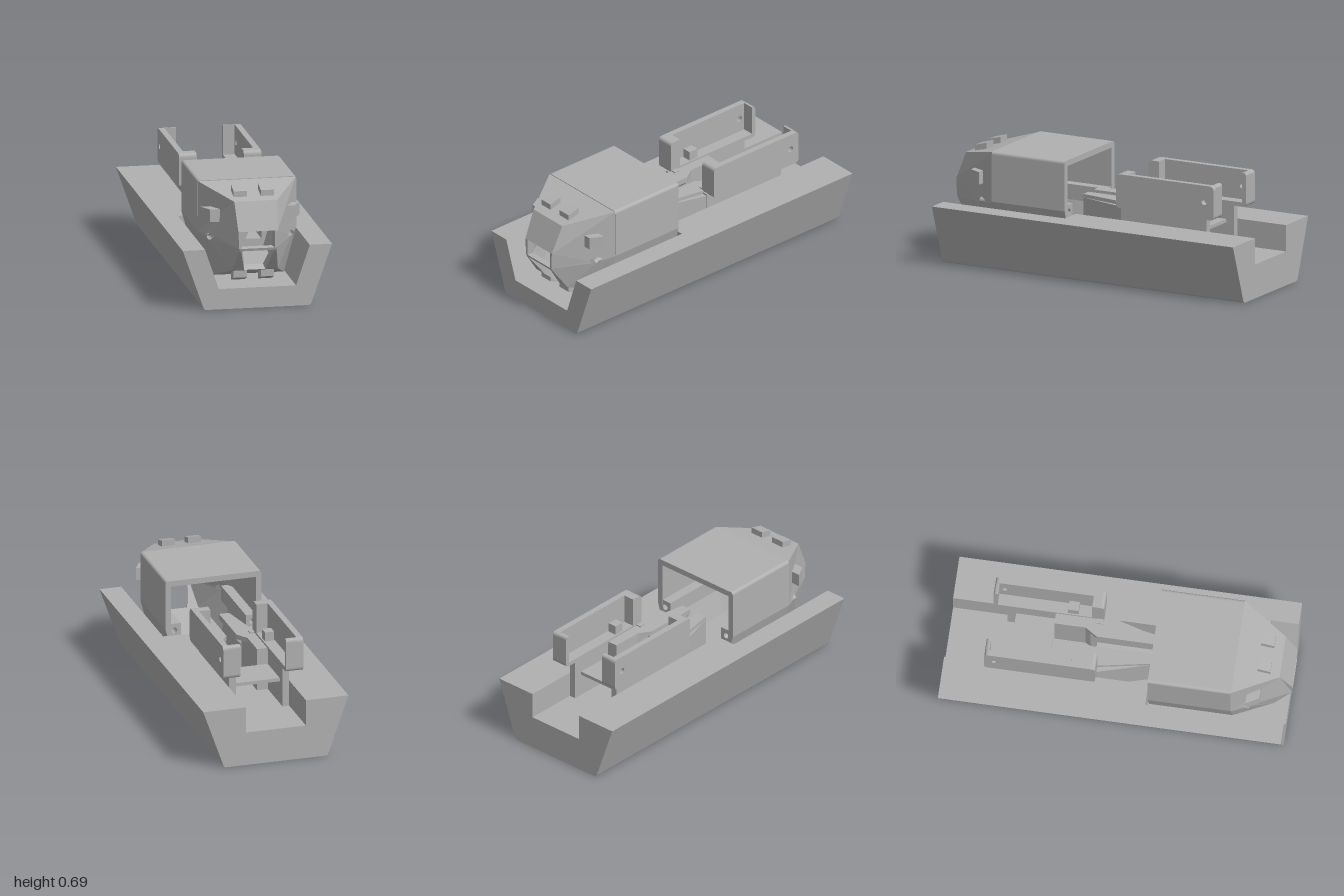
import * as THREE from 'three';

const grey = new THREE.MeshStandardMaterial({ color: 0xb0b0b0, side: THREE.DoubleSide });
grey.name = 'plainGrey';

const polygon = (pts) => new THREE.Shape(pts.map(([x, y]) => new THREE.Vector2(x, y)));
const circleHole = (x, y, r) => new THREE.Path().absarc(x, y, r, 0, Math.PI * 2, true);
const extrude = (shape, depth) =>
  new THREE.ExtrudeGeometry(shape, { depth, bevelEnabled: false, curveSegments: 10 });

// Extrusions along z (front outline), y (plan outline) and x (side outline)
const alongZ = (shape, z0, z1) => extrude(shape, z1 - z0).translate(0, 0, z0);
const alongY = (pts, y0, y1) =>
  extrude(polygon(pts.map(([x, z]) => [x, -z])), y1 - y0).rotateX(-Math.PI / 2).translate(0, y0, 0);
const alongX = (shape, x0, x1) => extrude(shape, x1 - x0).rotateY(Math.PI / 2).translate(x0, 0, 0);
const box = (x0, x1, y0, y1, z0, z1) => new THREE.BoxGeometry(x1 - x0, y1 - y0, z1 - z0)
  .translate((x0 + x1) / 2, (y0 + y1) / 2, (z0 + z1) / 2);

// Closed outline with its corners rounded by a radius per corner
function rounded(pts) {
  const s = new THREE.Shape();
  pts.forEach(([x, y, r = 0], i) => {
    const p = new THREE.Vector2(x, y);
    const toward = (q) => new THREE.Vector2(q[0], q[1]).sub(p).setLength(r).add(p);
    const a = r ? toward(pts[(i + pts.length - 1) % pts.length]) : p;
    const b = r ? toward(pts[(i + 1) % pts.length]) : p;
    if (i) s.lineTo(a.x, a.y); else s.moveTo(a.x, a.y);
    if (r) s.quadraticCurveTo(x, y, b.x, b.y);
  });
  s.closePath();
  return s;
}

const mirrorPts = (half) => [...half, ...half.slice().reverse().map(([x, ...rest]) => [-x, ...rest])];

// Faces seen from the front: triangulated in xy, keeping their own z
function facets(polys) {
  const pos = [];
  for (const poly of polys) {
    const flat = poly.map((p) => new THREE.Vector2(p[0], p[1]));
    const ccw = !THREE.ShapeUtils.isClockWise(flat);
    for (const t of THREE.ShapeUtils.triangulateShape(flat, [])) {
      const tri = t.map((i) => poly[i]);
      const [a, b, c] = tri;
      const up = (b[0] - a[0]) * (c[1] - a[1]) - (b[1] - a[1]) * (c[0] - a[0]) > 0;
      (up || (!ccw && up) ? tri : tri.reverse()).forEach((p) => pos.push(...p));
    }
  }
  const g = new THREE.BufferGeometry();
  g.setAttribute('position', new THREE.Float32BufferAttribute(pos, 3));
  g.computeVertexNormals();
  return g;
}

// Strip joining an outer loop to the inner skin
function reveal(loop, inner) {
  const pos = [];
  loop.forEach((p, i) => {
    const q = loop[(i + 1) % loop.length];
    const a = inner(p), b = inner(q);
    pos.push(...p, ...q, ...b, ...p, ...b, ...a);
  });
  const g = new THREE.BufferGeometry();
  g.setAttribute('position', new THREE.Float32BufferAttribute(pos, 3));
  g.computeVertexNormals();
  return g;
}

export function createModel() {
  const model = new THREE.Group();
  model.name = 'capsuleOnCradle';
  const add = (name, geo) => {
    const m = new THREE.Mesh(geo, grey);
    m.name = name;
    model.add(m);
    return m;
  };
  const addPair = (name, geo) => {
    add(name + 'Left', geo);
    add(name + 'Right', geo).scale.x = -1;
  };

  // Cradle: sloped pocket in front, square channel behind
  const cradle = (inner) => rounded(mirrorPts([[0.31, 0, 0.015], [0.435, 0.355], ...inner]));
  add('cradleFront', alongZ(cradle([[0.305, 0.355], [0.225, 0.12]]), 0.18, 0.98));
  add('cradleRear', alongZ(cradle([[0.18, 0.355], [0.18, 0.2]]), -1, 0.18));

  // Hollow capsule body
  const skin = 0.88;
  const outline = [[0.215, 0.125, 0.012], [0.288, 0.39], [0.288, 0.685, 0.02]];
  const body = rounded(mirrorPts(outline));
  body.holes.push(polygon(mirrorPts(outline.map(([x, y]) => [x * skin, 0.4 + (y - 0.4) * skin]))));
  add('capsuleBody', alongZ(body, 0.19, 0.67));

  // Drilled bosses along both inner walls
  const hx = 0.235, hy = 0.378, hr = 0.018;
  const boss = polygon([[0.195, 0.33], [0.262, 0.33], [0.28, 0.39], [0.28, 0.42], [0.195, 0.42]]);
  boss.holes.push(circleHole(hx, hy, hr));
  addPair('boss', alongZ(boss, 0.192, 0.67));
  addPair('bossBore', new THREE.CylinderGeometry(hr, hr, 0.1, 20, 1, true)
    .rotateX(Math.PI / 2).translate(hx, hy, 0.72));

  // Faceted nose, with a notch on the side edge for each bore
  const a0 = [0.284, 0.681, 0.67], a1 = [0.288, 0.39, 0.67], a2 = [0.215, 0.125, 0.67];
  const b0 = [0.125, 0.617, 0.93], bm = [0.115, 0.455, 1], b1 = [0.11, 0.355, 1];
  const bl = [0.108, 0.34, 0.995], b2 = [0.135, 0.205, 0.9];
  const w0 = [0.098, 0.455, 1], w1 = [0.098, 0.355, 1];
  const v0 = [0.097, 0.34, 0.995], v1 = [0.062, 0.205, 0.9];
  const arc = (dir) => Array.from({ length: 9 }, (_, i) => {
    const t = 0.15 + (dir * Math.PI * i) / 8;
    const x = hx + hr * Math.cos(t);
    return [x, hy + hr * Math.sin(t), 0.67 + (0.288 - x) * 1.854];
  });
  const sideFaces = [
    [a0, b0, bm, b1, ...arc(1).reverse(), a1],
    [a1, ...arc(-1), b1, bl, b2, a2],
    [bm, w0, w1, b1],
    [bl, v0, v1, b2],
  ];
  const flip = (p) => [-p[0], p[1], p[2]];
  const across = (p, q) => [p, flip(p), flip(q), q];
  const noseFaces = [
    ...sideFaces, ...sideFaces.map((f) => f.map(flip)),
    across(a0, b0), across(b0, bm), across(b1, bl), across(b2, a2),
  ];
  const inner = ([x, y, z]) => [x * skin, 0.4 + (y - 0.4) * skin, z - 0.035];
  add('noseShell', facets(noseFaces));
  add('noseLining', facets(noseFaces.map((f) => f.map(inner))));
  add('upperWindowReveal', reveal(across(w0, w1), inner));
  add('lowerWindowReveal', reveal(across(v0, v1), inner));

  // Raised pads on the nose
  const zy = (pts) => polygon(pts.map(([z, y]) => [-z, y]));
  addPair('topPad', alongX(zy([[0.8, 0.685], [0.875, 0.664], [0.875, 0.625], [0.8, 0.64]]), 0.04, 0.118));
  addPair('bottomPad', alongX(zy([[0.8, 0.125], [0.875, 0.155], [0.875, 0.2], [0.8, 0.18]]), 0.04, 0.118));
  addPair('sidePad', alongY([[0.288, 0.755], [0.247, 0.83], [0.18, 0.83], [0.22, 0.755]], 0.478, 0.553));

  // Side trays: outer wall with a round hole, plus a U-shaped inner part
  const wall = rounded([[0.12, 0.44, 0.025], [0.76, 0.44, 0.025], [0.76, 0.64, 0.025], [0.12, 0.64, 0.025]]);
  wall.holes.push(circleHole(0.7, 0.545, 0.018));
  addPair('trayWall', alongX(wall, 0.205, 0.24));
  const tray = rounded([[0.12, 0.44, 0.025], [0.76, 0.44, 0.025], [0.76, 0.64, 0.02],
    [0.735, 0.64], [0.735, 0.465], [0.19, 0.465], [0.19, 0.64], [0.12, 0.64, 0.025]]);
  addPair('trayEnds', alongX(tray, 0.137, 0.205));
  addPair('trayButton', box(0.145, 0.2, 0.46, 0.52, -0.33, -0.27));
  addPair('trayClip', box(0.108, 0.14, 0.42, 0.46, -0.16, -0.125));

  // Supports under the trays and the plate between them
  addPair('trayLeg', box(0.14, 0.18, 0.2, 0.442, -0.68, -0.12));
  add('crossPlate', box(-0.14, 0.14, 0.335, 0.355, -0.63, -0.4));

  // Tapered arms, with notched rails along the central slot
  addPair('arm', alongY([[0.06, 0.18], [0.09, 0.18], [0.175, -0.12], [0.175, -0.4],
    [0.075, -0.4], [0.075, -0.22], [0.06, -0.19]], 0.2, 0.432));
  addPair('armTop', alongY([[0.03, 0.18], [0.09, 0.18], [0.145, -0.12], [0.14, -0.4],
    [0.075, -0.4], [0.075, -0.22], [0.03, -0.15]], 0.425, 0.453));
  const rail = polygon([[0.03, 0.43], [0.03, 0.42], [0.055, 0.395], [0.055, 0.29], [0.03, 0.27],
    [0.03, 0.245], [0.06, 0.225], [0.06, 0.2], [0.085, 0.2], [0.085, 0.43]]);
  addPair('slotRail', alongZ(rail, -0.15, 0.18));

  return model;
}
